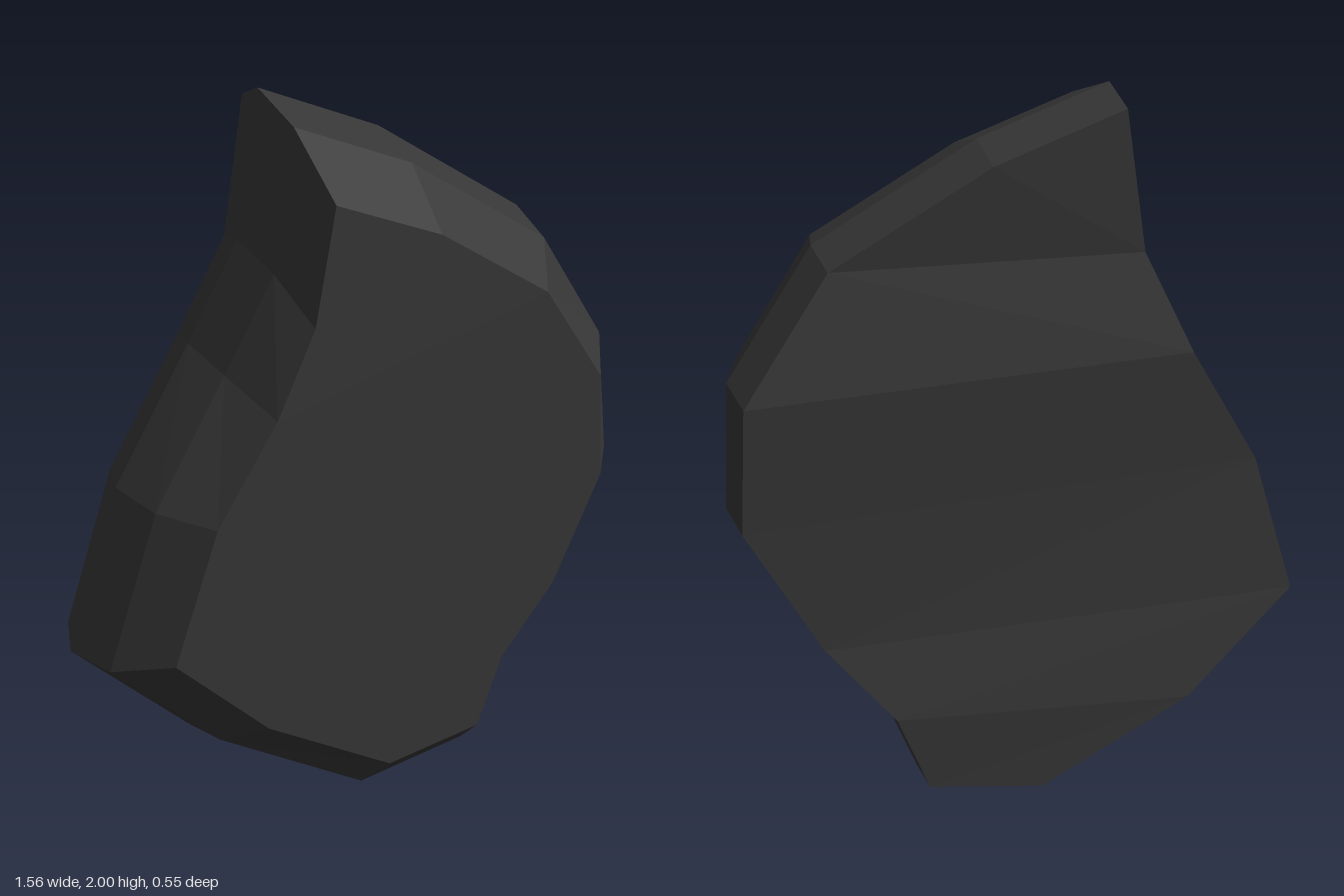
import * as THREE from 'three';

// Each outline point: widest x, y, front-face x, y, and a small z wobble.
const OUTLINE = [
  [-0.21, 2.0, -0.155, 1.77, 0],
  [0.12, 1.89, 0.12, 1.68, -0.007],
  [0.52, 1.66, 0.42, 1.51, 0.022],
  [0.75, 1.35, 0.59, 1.27, -0.017],
  [0.78, 1.0, 0.61, 0.99, 0.003],
  [0.59, 0.6, 0.48, 0.69, 0.015],
  [0.41, 0.35, 0.33, 0.49, -0.015],
  [0.32, 0.08, 0.26, 0.29, 0],
  [-0.02, 0.0, -0.005, 0.23, 0],
  [-0.46, 0.24, -0.35, 0.42, -0.015],
  [-0.78, 0.55, -0.59, 0.65, 0.01],
  [-0.63, 1.0, -0.47, 1.0, 0.01],
  [-0.41, 1.36, -0.31, 1.26, -0.02],
  [-0.28, 1.63, -0.21, 1.48, 0.022],
];

// Cross-sections front to back: z, blend towards the front-face outline, wobble amount.
const RINGS = [
  [0.275, 1, 0],
  [0.1, 0.31, 1],
  [-0.11, 0, 1],
  [-0.255, 0.13, 1],
];

// Triangles joining the two long sides, used for both caps.
const CAP = [
  [0, 1, 13], [1, 2, 13], [2, 12, 13], [2, 3, 12], [3, 4, 12], [4, 11, 12],
  [4, 5, 11], [5, 10, 11], [5, 6, 10], [6, 9, 10], [6, 7, 9], [7, 8, 9],
];

function slabGeometry() {
  const n = OUTLINE.length;
  const positions = [];
  const index = [];

  for (const [z, blend, wobble] of RINGS) {
    for (const [x, y, fx, fy, dz] of OUTLINE) {
      positions.push(x + (fx - x) * blend, y + (fy - y) * blend, z + dz * wobble);
    }
  }

  // Bevelled side walls
  for (let r = 0; r < RINGS.length - 1; r++) {
    for (let i = 0; i < n; i++) {
      const j = (i + 1) % n;
      const a = r * n + i, b = r * n + j;
      index.push(a, b, b + n, a, b + n, a + n);
    }
  }

  // Flat front and uneven back
  const back = (RINGS.length - 1) * n;
  for (const [a, b, c] of CAP) {
    index.push(a, c, b, back + a, back + b, back + c);
  }

  const indexed = new THREE.BufferGeometry();
  indexed.setAttribute('position', new THREE.Float32BufferAttribute(positions, 3));
  indexed.setIndex(index);
  const geometry = indexed.toNonIndexed();
  geometry.computeVertexNormals();
  return geometry;
}

export function createModel() {
  const charcoal = new THREE.MeshStandardMaterial({ color: 0x363636, flatShading: true });
  charcoal.name = 'charcoal';

  const slab = new THREE.Mesh(slabGeometry(), charcoal);
  slab.name = 'stoneSlab';

  const model = new THREE.Group();
  model.name = 'stone';
  model.add(slab);
  return model;
}
